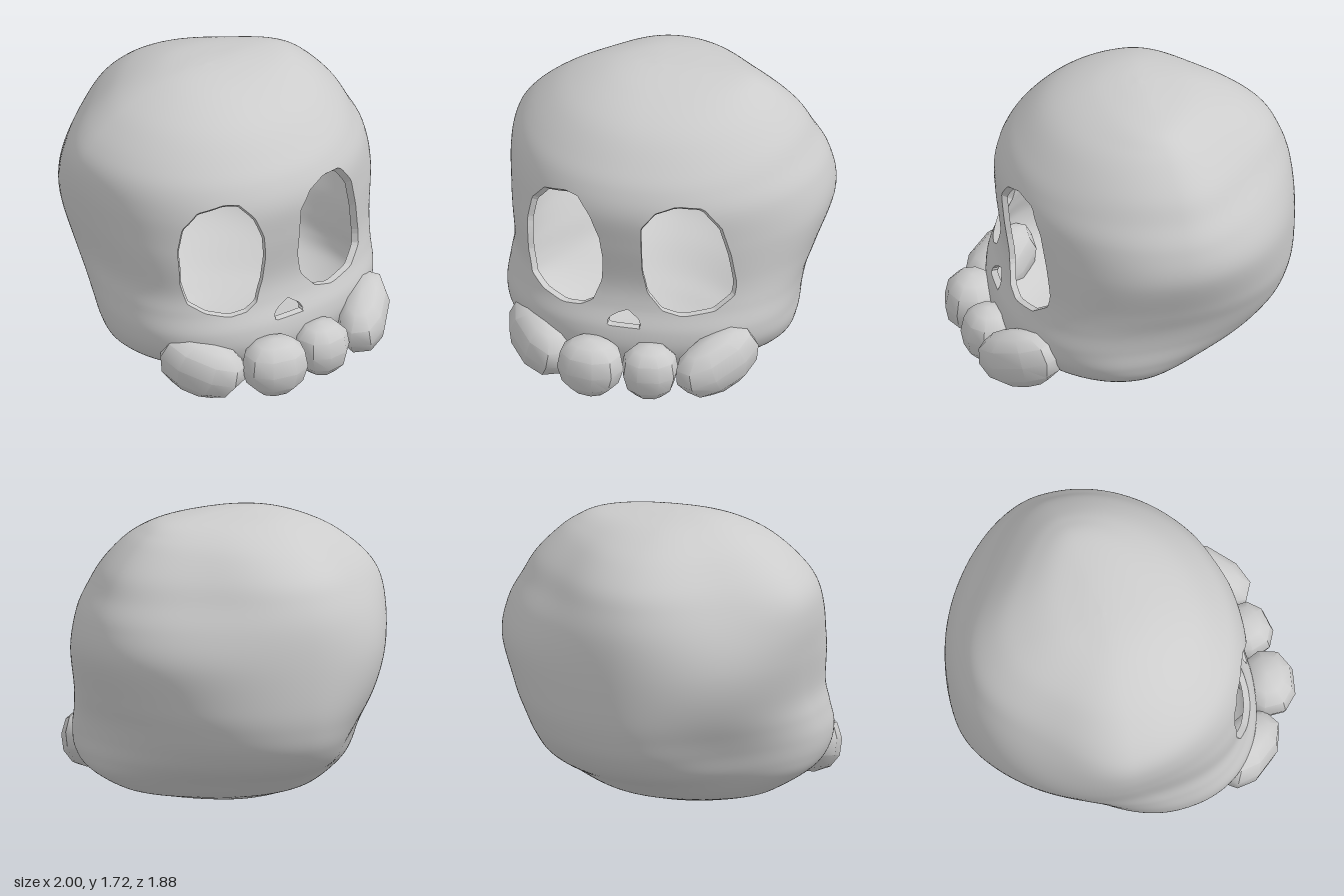
import * as THREE from 'three';
import { mergeVertices, toCreasedNormals } from 'three/addons/utils/BufferGeometryUtils.js';

// Horizontal slices, bottom to top: y, back x, front x, min z, max z, x of widest point
const SLICES = [
  [0, -0.02, -0.02, 0.08, 0.08, -0.02],
  [0.02, -0.2, 0.14, -0.16, 0.36, -0.02],
  [0.055, -0.32, 0.38, -0.38, 0.56, 0.02],
  [0.1, -0.45, 0.58, -0.57, 0.67, 0.06],
  [0.2, -0.62, 0.72, -0.73, 0.82, 0.1],
  [0.3, -0.81, 0.76, -0.78, 0.88, 0.14],
  [0.42, -0.92, 0.75, -0.79, 0.9, 0.13],
  [0.55, -0.97, 0.7, -0.81, 0.89, 0.05],
  [0.7, -0.995, 0.68, -0.86, 0.88, -0.06],
  [0.95, -1.0, 0.71, -0.94, 0.92, -0.15],
  [1.15, -0.98, 0.72, -0.91, 0.94, -0.17],
  [1.3, -0.93, 0.67, -0.83, 0.92, -0.17],
  [1.42, -0.86, 0.58, -0.76, 0.84, -0.16],
  [1.54, -0.72, 0.46, -0.65, 0.7, -0.14],
  [1.62, -0.57, 0.33, -0.55, 0.56, -0.13],
  [1.68, -0.4, 0.17, -0.42, 0.4, -0.11],
  [1.71, -0.22, 0.02, -0.17, 0.25, -0.1],
  [1.72, -0.1, -0.1, 0.08, 0.08, -0.1],
];

// Convex openings in the face, as z, y corners
const OPENINGS = [
  [[0.69, 1.1], [0.61, 1.2], [0.47, 1.24], [0.39, 1.23], [0.31, 1.14], [0.25, 1.0], [0.23, 0.85], [0.24, 0.7],
    [0.29, 0.57], [0.36, 0.53], [0.47, 0.52], [0.6, 0.56], [0.68, 0.62], [0.71, 0.75], [0.72, 0.95]],
  [[0, 1.1], [-0.08, 1.2], [-0.2, 1.24], [-0.35, 1.22], [-0.45, 1.09], [-0.5, 0.9], [-0.53, 0.7], [-0.52, 0.63],
    [-0.42, 0.55], [-0.24, 0.52], [-0.12, 0.55], [-0.03, 0.65], [0, 0.8]],
  [[0.21, 0.44], [0.18, 0.49], [0.09, 0.545], [0.01, 0.49], [-0.01, 0.44]],
];

// Signed distance to the nearest opening, negative inside
function openingDistance(p) {
  if (p.x < 0.2) return 1;
  return Math.min(...OPENINGS.map((poly) => {
    const cz = poly.reduce((s, q) => s + q[0], 0) / poly.length;
    const cy = poly.reduce((s, q) => s + q[1], 0) / poly.length;
    let far = -Infinity;
    poly.forEach(([z0, y0], i) => {
      const [z1, y1] = poly[(i + 1) % poly.length];
      const len = Math.hypot(z1 - z0, y1 - y0);
      const side = (z, y) => ((z - z0) * (y1 - y0) - (y - y0) * (z1 - z0)) / len;
      far = Math.max(far, side(p.z, p.y) * (side(cz, cy) > 0 ? -1 : 1));
    });
    return far;
  }));
}

const bump = (y, middle, spread) => Math.exp(-(((y - middle) / spread) ** 2));

// How far each diagonal quarter of a slice is drawn in, so the cranium is ball-like and leans to one side
function taper(y, isFront, isRight) {
  if (isFront) {
    return isRight ? -0.03 * bump(y, 0.85, 0.3) : 0.04 * bump(y, 0.9, 0.3) + 0.05 * bump(y, 0.1, 0.15);
  }
  return isRight
    ? 0.13 * bump(y, 1.42, 0.36) + 0.125 * bump(y, 0.36, 0.28)
    : 0.13 * bump(y, 1.45, 0.38) - 0.03 * bump(y, 0.55, 0.2) + 0.08 * bump(y, 0.12, 0.18);
}

// Grid of points on the skull surface
function skullGrid(rows, cols) {
  const curve = (a, b, c) => new THREE.CatmullRomCurve3(
    SLICES.map((s) => new THREE.Vector3(s[a], s[b], s[c])), false, 'catmullrom', 0.5);
  const lengths = curve(0, 1, 2), widths = curve(3, 4, 5);
  const grid = [];
  for (let i = 0; i <= rows; i++) {
    const { x: y, y: back, z: front } = lengths.getPoint(i / rows);
    const { x: zMin, y: zMax, z: xc } = widths.getPoint(i / rows);
    // The face is squarer at eye level than the round cranium
    const n = 2.05 + 0.5 * bump(y, 0.65, 0.35);
    const row = [];
    for (let j = 0; j <= cols; j++) {
      const a = ((j % cols) / cols) * Math.PI * 2, c = Math.cos(a), s = Math.sin(a);
      const e = c > 0 ? 2 / n : 1;
      const k = 1 - taper(y, c > 0, s > 0) * Math.sin(2 * a) ** 2;
      const cx = k * Math.abs(c) ** e, sz = k * Math.abs(s) ** e;
      const p = new THREE.Vector3(xc + cx * (c > 0 ? front - xc : back - xc), y,
        0.08 + sz * (s > 0 ? zMax - 0.08 : zMin - 0.08));
      p.gap = openingDistance(p);
      row.push(p);
    }
    grid.push(row);
  }
  return grid;
}

function toGeometry(points, smooth) {
  const g = new THREE.BufferGeometry().setFromPoints(points);
  const out = smooth ? mergeVertices(g, 1e-4) : g;
  out.computeVertexNormals();
  return out;
}

// Outer wall, inner wall and the rims joining them around the openings
function buildSkull() {
  const rows = 120, cols = 160, grid = skullGrid(rows, cols);
  const outer = [], inner = [], rim = [];
  const centre = new THREE.Vector3(-0.1, 0.6, 0.08);
  const inset = (p) => p.clone().lerp(centre, 0.045);
  const addTriangle = (...tri) => {
    const kept = [], cut = [];
    tri.forEach((p, k) => {
      const q = tri[(k + 1) % 3];
      if (p.gap >= 0) kept.push(p);
      if ((p.gap >= 0) !== (q.gap >= 0)) {
        const m = p.clone().lerp(q, p.gap / (p.gap - q.gap));
        kept.push(m);
        cut.push(m);
      }
    });
    for (let k = 1; k + 1 < kept.length; k++) {
      outer.push(kept[0], kept[k], kept[k + 1]);
      inner.push(inset(kept[0]), inset(kept[k + 1]), inset(kept[k]));
    }
    if (cut.length === 2) {
      const [a, b] = cut, c = inset(a), d = inset(b);
      rim.push(a, c, b, b, c, d);
    }
  };
  for (let i = 0; i < rows; i++) {
    for (let j = 0; j < cols; j++) {
      const a = grid[i][j], b = grid[i + 1][j], c = grid[i + 1][j + 1], d = grid[i][j + 1];
      if (i < rows - 1) addTriangle(a, b, c);
      if (i > 0) addTriangle(a, c, d);
    }
  }
  return { outerSkull: toGeometry(outer, true), innerSkull: toGeometry(inner, true), openingRims: toGeometry(rim, false) };
}

// Chunky rounded pebble, narrower towards the bottom
function toothGeometry() {
  const g = new THREE.SphereGeometry(1, 9, 6);
  const pos = g.attributes.position;
  const v = new THREE.Vector3();
  const soft = (t) => Math.sign(t) * Math.abs(t) ** 0.88;
  for (let i = 0; i < pos.count; i++) {
    v.fromBufferAttribute(pos, i);
    const wide = 1 + 0.08 * v.y;
    pos.setXYZ(i, soft(v.x), soft(v.y), soft(v.z) * wide);
  }
  return toCreasedNormals(g, 0.72);
}

export function createModel() {
  const model = new THREE.Group();
  model.name = 'skull';
  const bone = new THREE.MeshStandardMaterial({ color: 0xcccccc, side: THREE.DoubleSide });
  bone.name = 'bone grey';

  for (const [name, geometry] of Object.entries(buildSkull())) {
    const mesh = new THREE.Mesh(geometry, bone);
    mesh.name = name;
    model.add(mesh);
  }

  // Teeth along the arch: position, half sizes (depth, height, width), yaw, tilt
  const tooth = toothGeometry();
  [
    ['leftOuterTooth', [0.705, 0.26, -0.45], [0.15, 0.17, 0.275], 0.8, 0.32],
    ['leftInnerTooth', [0.815, 0.215, -0.075], [0.155, 0.165, 0.165], 0.15, 0],
    ['rightInnerTooth', [0.835, 0.215, 0.27], [0.165, 0.175, 0.195], -0.2, 0],
    ['rightOuterTooth', [0.595, 0.22, 0.615], [0.165, 0.175, 0.265], -0.86, -0.32],
  ].forEach(([name, position, size, yaw, tilt]) => {
    const mesh = new THREE.Mesh(tooth, bone);
    mesh.name = name;
    mesh.position.set(...position);
    mesh.scale.set(...size);
    mesh.rotation.set(tilt, yaw, 0, 'YXZ');
    model.add(mesh);
  });
  return model;
}
